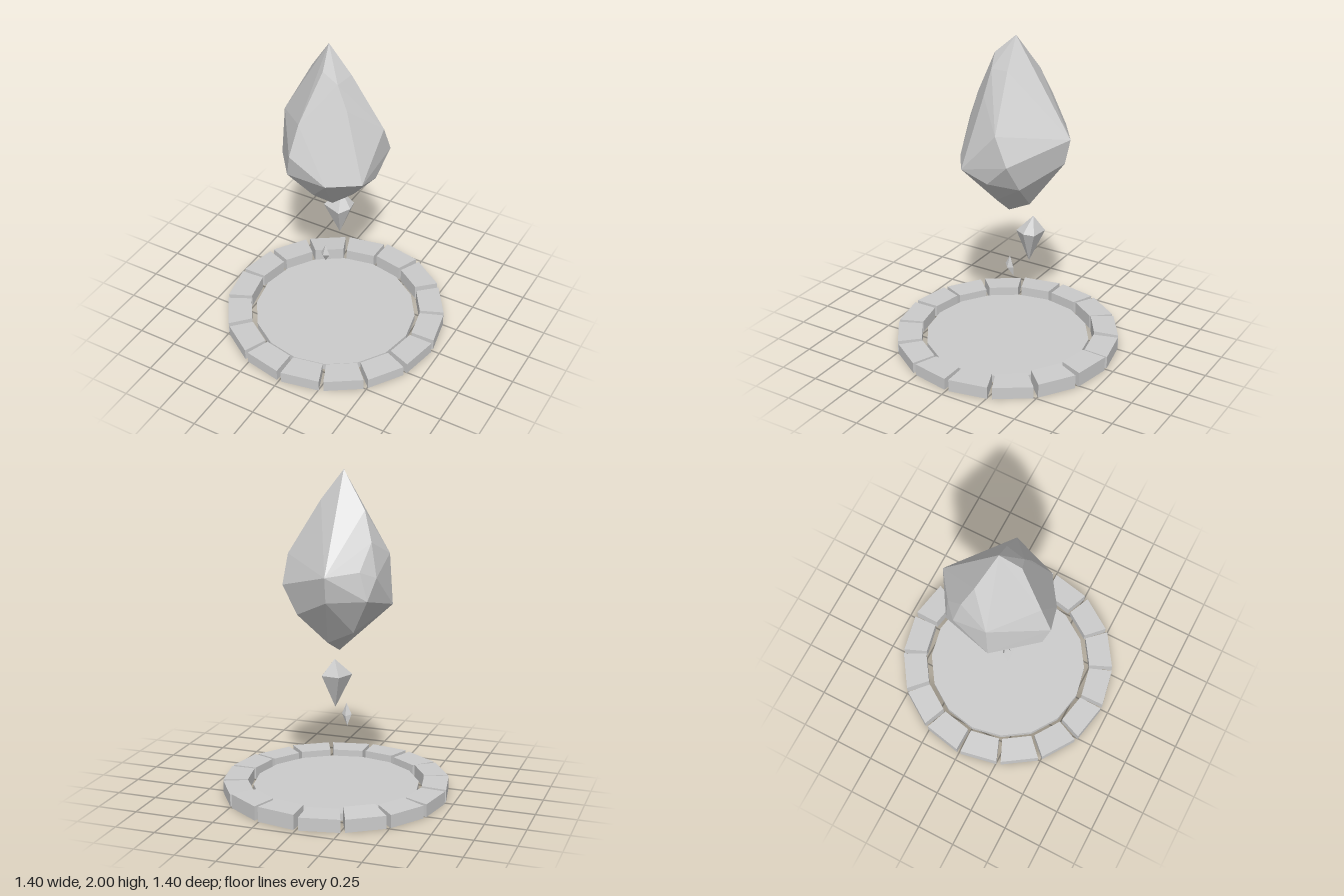
import * as THREE from 'three';
import { ConvexGeometry } from 'three/addons/geometries/ConvexGeometry.js';

const material = new THREE.MeshStandardMaterial({ color: 0xcccccc, flatShading: true });
const openMaterial = new THREE.MeshStandardMaterial({ color: 0xcccccc, flatShading: true, side: THREE.DoubleSide });

function add(group, geometry, name, mat = material) {
  const mesh = new THREE.Mesh(geometry, mat);
  mesh.name = name;
  group.add(mesh);
  return mesh;
}

// A faceted stone: the convex hull of its corner points
const stone = (points) => new ConvexGeometry(points.map((p) => new THREE.Vector3(...p)));

// One tapered ring block, hollow and open underneath, spanning the angles a to b
function ringBlock(a, b, innerHeight, outerHeight) {
  const box = new THREE.BoxGeometry(1, 1, 1);
  const pos = box.attributes.position;
  for (let i = 0; i < pos.count; i++) {
    const outer = pos.getX(i) > 0;
    const r = outer ? 0.7 : 0.547;
    const t = pos.getZ(i) > 0 ? a : b;
    const top = outer ? outerHeight : innerHeight;
    pos.setXYZ(i, r * Math.cos(t), pos.getY(i) > 0 ? top : 0, -r * Math.sin(t));
  }
  // leave out the bottom face
  const index = Array.from(box.index.array);
  index.splice(18, 6);
  box.setIndex(index);
  box.clearGroups();
  box.computeVertexNormals();
  return box;
}

export function createModel() {
  const model = new THREE.Group();

  // Large floating crystal
  add(model, stone([
    // tip and upper shoulders
    [-0.055, 2, -0.025], [-0.024, 1.886, 0.1], [0.08, 1.82, -0.047], [-0.21, 1.775, -0.097],
    [0.058, 1.81, 0.074], [0.125, 1.66, 0.086],
    [-0.093, 1.6, 0.26], [-0.27, 1.6, -0.155], [-0.325, 1.51, 0.03], [0.277, 1.492, -0.084],
    // widest part
    [-0.065, 1.42, -0.39], [-0.235, 1.44, -0.265], [-0.313, 1.4, -0.19], [-0.114, 1.415, 0.336],
    [0.283, 1.315, -0.163], [-0.341, 1.2, 0.045], [-0.15, 1.26, 0.303],
    [0.09, 1.235, 0.278], [0.268, 1.235, 0.156],
    // lower facets and bottom tip
    [0.263, 1.177, -0.02], [0.18, 1.145, -0.19], [-0.06, 1.265, -0.357], [-0.28, 1.27, -0.26],
    [-0.17, 1.06, -0.18], [-0.06, 1.05, 0.16], [0.125, 1.02, 0], [0, 0.98, -0.155], [-0.02, 0.9, 0],
  ]), 'largeCrystal');

  // Two shards hanging below it
  add(model, stone([
    [-0.045, 0.886, -0.156], [-0.04, 0.58, -0.13],
    [-0.135, 0.785, -0.095], [-0.01, 0.78, -0.057], [0.033, 0.785, -0.13],
    [0.022, 0.785, -0.2], [-0.09, 0.785, -0.213],
  ]), 'mediumShard');
  add(model, stone([
    [-0.06, 0.565, 0.018], [-0.07, 0.425, 0],
    [-0.092, 0.495, 0.02], [-0.06, 0.505, 0.05], [-0.03, 0.495, 0.02], [-0.06, 0.485, -0.006],
  ]), 'smallShard');

  // Floor disc: a top plate with a thin rim, open underneath
  const rim = add(model, new THREE.CylinderGeometry(0.515, 0.515, 0.045, 16, 1, true), 'floorRim', openMaterial);
  rim.position.y = 0.0225;
  const plate = add(model, new THREE.CircleGeometry(0.515, 16).rotateX(-Math.PI / 2), 'floorPlate', openMaterial);
  plate.position.y = 0.045;

  // Ring of sixteen blocks with uneven, sloping tops: [inner height, outer height]
  const ring = new THREE.Group();
  ring.name = 'stoneRing';
  const heights = [
    [0.077, 0.077], [0.078, 0.076], [0.095, 0.088], [0.097, 0.093],
    [0.088, 0.08], [0.099, 0.08], [0.09, 0.08], [0.085, 0.08],
    [0.087, 0.08], [0.083, 0.075], [0.073, 0.073], [0.078, 0.076],
    [0.075, 0.075], [0.075, 0.075], [0.072, 0.069], [0.075, 0.075],
  ];
  const step = Math.PI / 8;
  heights.forEach(([inner, outer], i) => {
    add(ring, ringBlock(i * step + 0.02, (i + 1) * step - 0.02, inner, outer), 'ringBlock' + (i + 1), openMaterial);
  });
  model.add(ring);

  return model;
}
